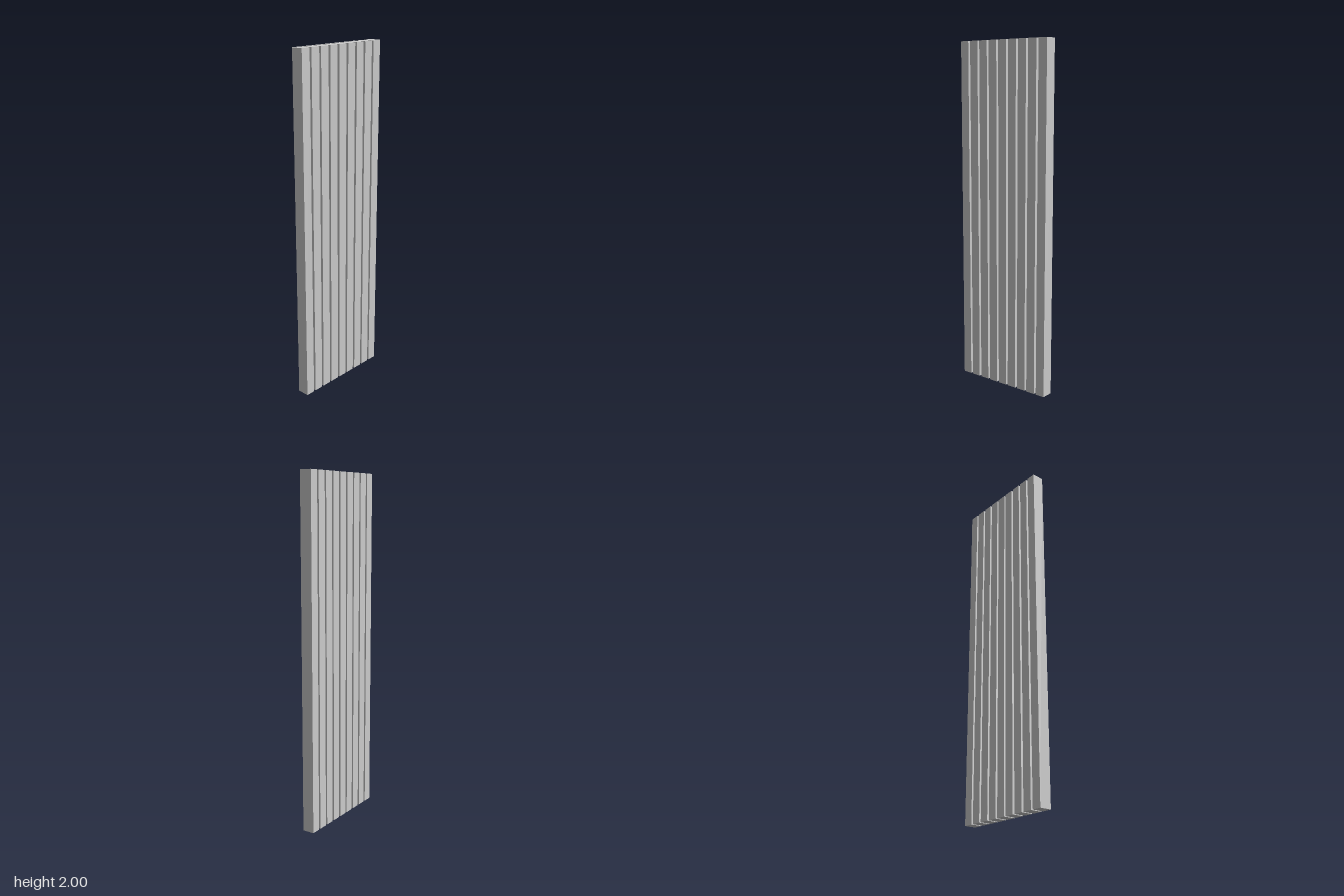
import * as THREE from 'three';

const COUNT = 9;
const WIDTH = 0.0555;
const HEIGHT = 2;
const DEPTH = 0.0695;
const PITCH = 0.0693;

export function createModel() {
  const group = new THREE.Group();
  group.name = 'slatScreen';
  const material = new THREE.MeshStandardMaterial({ color: 0xcccccc });
  const geometry = new THREE.BoxGeometry(WIDTH, HEIGHT, DEPTH);

  // Row of evenly spaced upright slats
  for (let i = 0; i < COUNT; i++) {
    const slat = new THREE.Mesh(geometry, material);
    slat.name = `slat${i + 1}`;
    slat.position.set((i - (COUNT - 1) / 2) * PITCH, HEIGHT / 2, 0);
    group.add(slat);
  }
  return group;
}
